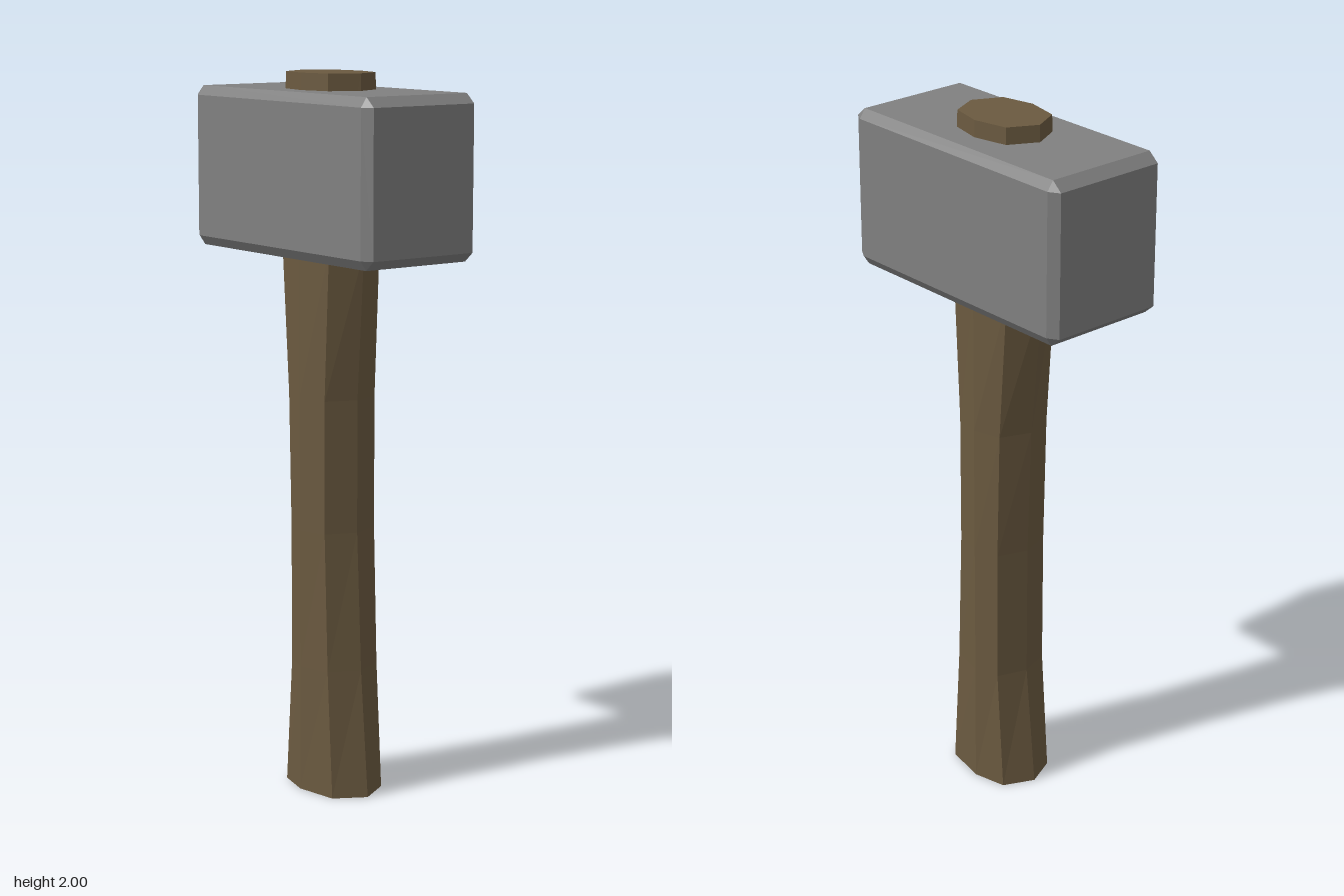
import * as THREE from 'three';
import { ConvexGeometry } from 'three/addons/geometries/ConvexGeometry.js';

// Box with bevelled edges and corners; h = half sizes, b = bevel per axis
function bevelledBox(h, b) {
  const points = [];
  for (const sx of [-1, 1]) for (const sy of [-1, 1]) for (const sz of [-1, 1]) {
    for (let full = 0; full < 3; full++) {
      const p = [sx, sy, sz].map((s, i) => s * (i === full ? h[i] : h[i] - b[i]));
      points.push(new THREE.Vector3(...p));
    }
  }
  return new ConvexGeometry(points);
}

// Handle rings from top to bottom: height, half width, front depth, back depth
const RINGS = [
  [2.0, 0.1, 0.13, 0.139],
  [1.53, 0.108, 0.147, 0.153],
  [1.12, 0.108, 0.119, 0.113],
  [0.75, 0.108, 0.119, 0.1],
  [0.36, 0.108, 0.138, 0.099],
  [0.0, 0.109, 0.17, 0.135],
];

// Eight-sided shaft, each ring shaped by its table row
function handleGeometry() {
  const rows = RINGS.length - 1;
  const geometry = new THREE.CylinderGeometry(1, 1, rows, 8, rows);
  const pos = geometry.attributes.position;
  for (let i = 0; i < pos.count; i++) {
    const [y, width, front, back] = RINGS[Math.round(rows / 2 - pos.getY(i))];
    const x = pos.getX(i), z = pos.getZ(i);
    // diagonal corners sit a little wider than on a regular octagon
    const spread = Math.abs(x) > 0.5 && Math.abs(x) < 0.9 ? 1.12 : 1;
    pos.setXYZ(i, x * width * spread, y, z * (z > 0 ? front : back));
  }
  geometry.computeVertexNormals();
  return geometry;
}

export function createModel() {
  const group = new THREE.Group();
  group.name = 'hammer';

  const wood = new THREE.MeshStandardMaterial({ color: 0x6b5a40, flatShading: true });
  const metal = new THREE.MeshStandardMaterial({ color: 0x808080, flatShading: true });

  // Handle runs through the head and shows above it
  const handle = new THREE.Mesh(handleGeometry(), wood);
  handle.name = 'handle';

  // Bevelled block head
  const head = new THREE.Mesh(bevelledBox([0.183, 0.221, 0.4], [0.018, 0.026, 0.03]), metal);
  head.name = 'head';
  head.position.y = 1.733;

  group.add(handle, head);
  return group;
}
